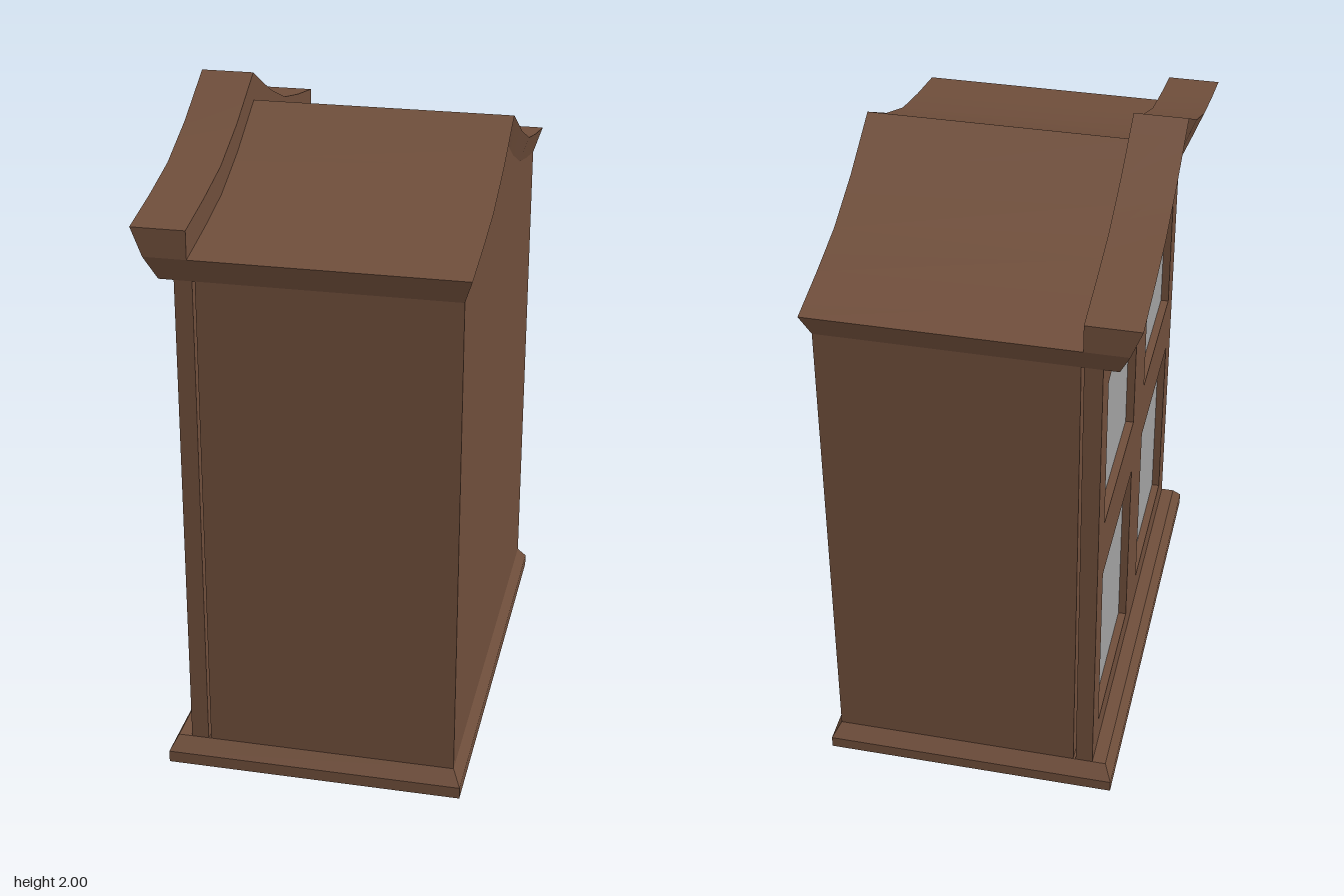
import * as THREE from 'three';
import { toCreasedNormals } from 'three/addons/utils/BufferGeometryUtils.js';

const HALF_OUT = 0.735;  // half width over the mouldings
const HALF_IN = 0.7;     // half width of the case

// Ogee roof line: [z, y], from ridge to eave
const ROOF = [[0, 2], [0.196, 1.895], [0.376, 1.822], [0.55, 1.783], [HALF_OUT, 1.75]];
const FULL = [...ROOF.slice(1).reverse().map(([z, y]) => [-z, y]), ...ROOF];
const INSET = HALF_IN / HALF_OUT;

// Closed solid from matching rings of points, capped at both ends
function loft(rings) {
  const pos = [];
  const tri = (a, b, c) => pos.push(...a, ...b, ...c);
  const n = rings[0].length;
  for (let i = 0; i < rings.length - 1; i++) {
    for (let j = 0; j < n; j++) {
      const k = (j + 1) % n;
      const [p, q] = [rings[i], rings[i + 1]];
      tri(p[j], p[k], q[k]);
      tri(p[j], q[k], q[j]);
    }
  }
  const first = rings[0], last = rings[rings.length - 1];
  for (let j = 1; j < n - 1; j++) {
    tri(first[0], first[j + 1], first[j]);
    tri(last[0], last[j], last[j + 1]);
  }
  const geo = new THREE.BufferGeometry();
  geo.setAttribute('position', new THREE.Float32BufferAttribute(pos, 3));
  return toCreasedNormals(geo, 0.4);
}

// Carry a section of [x, drop, z scale] along the roof line
const alongRoof = (section) =>
  loft(FULL.map(([z, y]) => section.map(([x, drop, s]) => [x, y - drop, z * s])));

// Height of the case top under the roof at a given z
function caseTop(z) {
  const a = Math.abs(z) / INSET;
  const i = Math.max(1, ROOF.findIndex((p) => p[0] >= a - 1e-6));
  const [z0, y0] = ROOF[i - 1], [z1, y1] = ROOF[i];
  return y0 + (y1 - y0) * (a - z0) / (z1 - z0) - 0.16;
}

// Outline in z and y whose top follows the roof line, lowered by drop
function archedPoints(z0, z1, y0, drop) {
  const zs = [z1, ...FULL.map((p) => p[0] * INSET).filter((z) => z > z0 + 1e-4 && z < z1 - 1e-4).reverse(), z0];
  return [[z0, y0], [z1, y0], ...zs.map((z) => [z, caseTop(z) - drop])].map((p) => new THREE.Vector2(...p));
}

// Plate between two x positions from a z-y shape
function plate(shape, x0, x1) {
  const geo = new THREE.ExtrudeGeometry(shape, { depth: x1 - x0, bevelEnabled: false });
  return geo.rotateY(-Math.PI / 2).translate(x1, 0, 0);
}

export function createModel() {
  const group = new THREE.Group();
  group.name = 'displayCabinet';

  const wood = new THREE.MeshStandardMaterial({ color: 0x6f4e3b });
  wood.name = 'brownWood';
  const glass = new THREE.MeshStandardMaterial({ color: 0xa0a0a0 });
  glass.name = 'greyGlass';

  const add = (name, geo, mat) => {
    const mesh = new THREE.Mesh(geo, mat);
    mesh.name = name;
    group.add(mesh);
  };

  // Plinth with a chamfered upper edge
  const rect = (x0, x1, z, y) => [[x0, y, z], [x1, y, z], [x1, y, -z], [x0, y, -z]];
  add('plinth', loft([
    rect(-0.435, 0.475, HALF_OUT, 0),
    rect(-0.435, 0.475, HALF_OUT, 0.037),
    rect(-0.412, 0.45, HALF_IN, 0.08),
  ]), wood);

  // Case body
  const outline = archedPoints(-HALF_IN, HALF_IN, 0.08, 0);
  add('caseBody', plate(new THREE.Shape(outline), -0.309, 0.45), wood);

  // Door frame with four openings, and recessed panes
  const door = new THREE.Shape(outline);
  const panes = [];
  for (const [z0, z1] of [[-0.605, -0.1], [0.1, 0.605]]) {
    panes.push([[z0, 0.17], [z1, 0.17], [z1, 0.78], [z0, 0.78]].map((p) => new THREE.Vector2(...p)));
    panes.push(archedPoints(z0, z1, 0.975, 0.125));
  }
  for (const pts of panes) {
    door.holes.push(new THREE.Path(pts));
    add('glassPane', plate(new THREE.Shape(pts), -0.345, -0.338), glass);
  }
  add('doorFrame', plate(door, -0.37, -0.317), wood);

  // Main roof with flared eaves
  add('roof', alongRoof([
    [-0.32, 0.16, INSET], [0.45, 0.16, INSET], [0.475, 0.085, 1], [-0.32, 0.085, 1],
  ]), wood);

  // Raised cornice above the doors
  add('cornice', alongRoof([
    [-0.447, 0.085, 1], [-0.415, 0.16, INSET], [-0.32, 0.16, INSET],
    [-0.32, 0.085, 1], [-0.32, 0, 1], [-0.48, 0, 1],
  ]), wood);

  return group;
}
